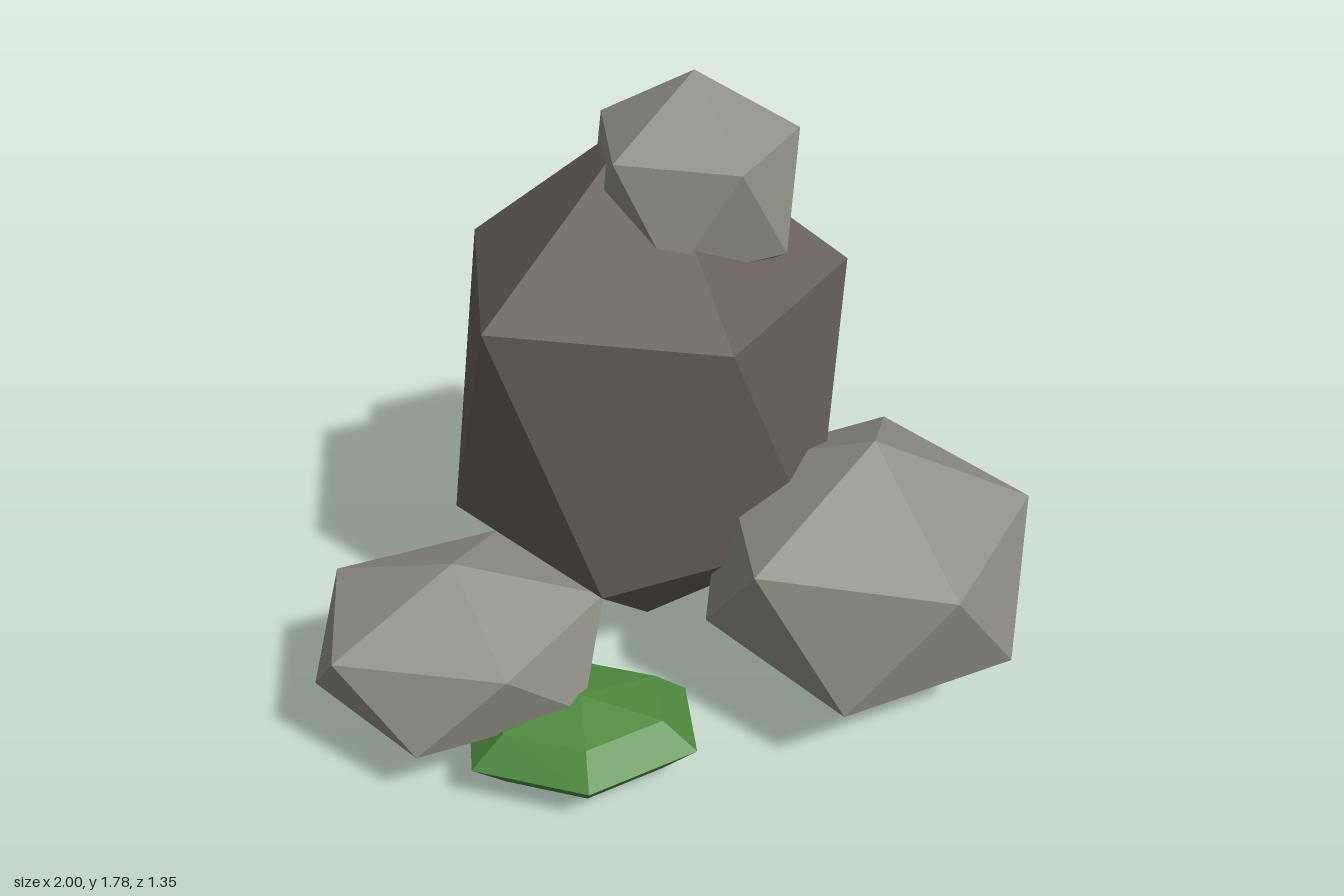
import * as THREE from 'three';

const GOLDEN = (1 + Math.sqrt(5)) / 2;

function material(name, color) {
  const m = new THREE.MeshStandardMaterial({ color, flatShading: true });
  m.name = name;
  return m;
}

// Twenty-sided stone standing on one corner, with an upper-ring corner towards +x
function stoneGeometry() {
  return new THREE.IcosahedronGeometry(1, 0).rotateZ(-Math.atan(1 / GOLDEN));
}

// Low cushion with six sides, corners towards +z and -z
function mossGeometry() {
  return new THREE.SphereGeometry(1, 6, 4).rotateY(Math.PI / 6);
}

export function createModel() {
  const darkStone = material('dark stone', 0x645d59);
  const lightStone = material('light stone', 0x8f8e86);
  const mossGreen = material('moss green', 0x4c8a3c);

  const group = new THREE.Group();
  group.name = 'rockCluster';

  // name, geometry, material, radii, centre
  const parts = [
    ['mainBoulder', stoneGeometry(), darkStone, [0.625, 0.838, 0.552], [-0.027, 0.838, -0.207]],
    ['topRock', stoneGeometry(), lightStone, [0.313, 0.313, 0.318], [0.102, 1.472, -0.205]],
    ['leftRock', stoneGeometry(), lightStone, [0.503, 0.402, 0.508], [0.549, 0.46, 0.172]],
    ['rightRock', stoneGeometry(), lightStone, [0.45, 0.265, 0.38], [-0.597, 0.335, 0.234]],
    ['mossPatch', mossGeometry(), mossGreen, [0.35, 0.125, 0.25], [-0.278, 0.145, 0.424]],
  ];

  for (const [name, geometry, mat, radii, centre] of parts) {
    geometry.scale(...radii);
    const mesh = new THREE.Mesh(geometry, mat);
    mesh.name = name;
    mesh.position.set(...centre);
    group.add(mesh);
  }
  return group;
}
